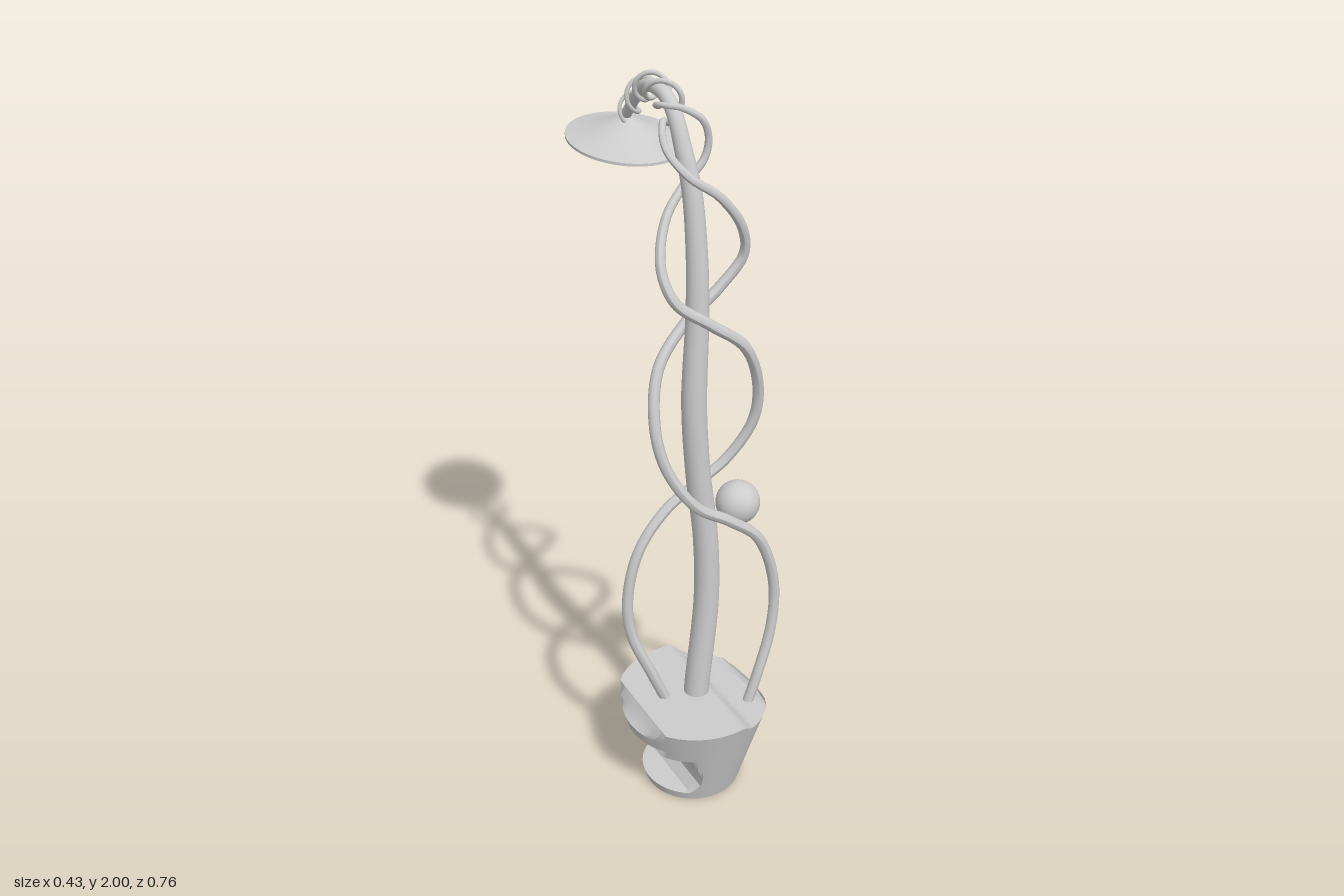
import * as THREE from 'three';
import { toCreasedNormals } from 'three/addons/utils/BufferGeometryUtils.js';

const mat = new THREE.MeshStandardMaterial({ color: 0xcccccc });
const { lerp } = THREE.MathUtils;
const toVectors = pts => pts.map(p => new THREE.Vector3(...p));

// Piecewise-linear lookup in a list of [x, y] pairs
function lookup(table, x) {
  if (x <= table[0][0]) return table[0][1];
  for (let i = 1; i < table.length; i++) {
    const [x0, y0] = table[i - 1], [x1, y1] = table[i];
    if (x <= x1) return lerp(y0, y1, (x - x0) / (x1 - x0));
  }
  return table[table.length - 1][1];
}

// Tube along a curve, tapering by a radius table, with rounded-off ends
function taperedTube(points, radii, segments, sides) {
  const curve = new THREE.CatmullRomCurve3(points);
  curve.arcLengthDivisions = 800;
  const geo = new THREE.TubeGeometry(curve, segments, 1, sides);
  const pos = geo.attributes.position, v = new THREE.Vector3();
  for (let i = 0; i <= segments; i++) {
    const u = i / segments, c = curve.getPointAt(u);
    const r = (i === 0 || i === segments) ? 0.0005 : lookup(radii, u);
    for (let j = 0; j <= sides; j++) {
      const k = i * (sides + 1) + j;
      v.fromBufferAttribute(pos, k).sub(c).multiplyScalar(r).add(c);
      pos.setXYZ(k, v.x, v.y, v.z);
    }
  }
  geo.computeVertexNormals();
  return geo;
}

// Broken pot: tapered rings, cut by a bite on one side and a chipped rim
function potGeometry() {
  const N = 72, H = 0.292;
  const bite = [[0, -0.2], [0.028, -0.2], [0.032, -0.09], [0.06, -0.065], [0.1, -0.065], [0.14, -0.09],
    [0.178, -0.1], [0.186, -0.17], [0.208, -0.16], [0.216, -0.21], [0.25, -0.225], [0.265, -0.195], [H, -0.178]];
  const rim = [[0.03, H], [0.07, 0.262], [0.16, 0.258], [0.2, 0.23]];
  const rings = [[0, 0]];
  for (const [y] of bite) rings.push([y, 1]);
  for (let k = 9; k >= 0; k--) rings.push([H, k / 10]);

  const place = (y, a, s) => {
    const r = (0.138 + 0.27 * y) * s;
    const left = lookup(bite, y);
    return [Math.max(-0.012 + r * Math.cos(a), left), y, 0.155 + 0.03 * y + r * Math.sin(a)];
  };
  const pos = [], idx = [];
  for (const [y, s] of rings) for (let j = 0; j <= N; j++) {
    const a = j / N * Math.PI * 2;
    let p = place(y, a, s);
    const top = lookup(rim, p[0]);
    if (y > top) p = place(top, a, s);
    pos.push(...p);
  }
  for (let i = 0; i < rings.length - 1; i++) for (let j = 0; j < N; j++) {
    const a = i * (N + 1) + j, b = a + N + 1;
    idx.push(a, b, a + 1, a + 1, b, b + 1);
  }
  const geo = new THREE.BufferGeometry();
  geo.setAttribute('position', new THREE.Float32BufferAttribute(pos, 3));
  geo.setIndex(idx);
  return toCreasedNormals(geo, 0.6);
}

// Thin, slightly tilted cone-shaped blossom
function blossomGeometry() {
  const profile = [[0, 0.04], [0.5, 0.016], [0.85, 0], [1, -0.003], [1, 0.004], [0.75, 0.014],
    [0.4, 0.034], [0.15, 0.055], [0.06, 0.066], [0, 0.068]].map(p => new THREE.Vector2(...p));
  const geo = new THREE.LatheGeometry(profile, 64);
  geo.scale(0.149, 1, 0.169);
  const pos = geo.attributes.position;
  for (let i = 0; i < pos.count; i++) pos.setY(i, pos.getY(i) - 0.12 * pos.getZ(i));
  geo.translate(-0.015, 1.797, -0.21);
  return toCreasedNormals(geo, 0.7);
}

export function createModel() {
  const group = new THREE.Group();
  const add = (name, geo) => {
    const mesh = new THREE.Mesh(geo, mat);
    mesh.name = name;
    group.add(mesh);
    return mesh;
  };

  add('brokenPot', potGeometry());

  // Stem, bending over at the top into an arm
  const armPts = toVectors([[-0.015, 1.92, 0.05], [-0.018, 1.955, 0.015], [-0.02, 1.967, -0.04],
    [-0.018, 1.955, -0.1], [-0.016, 1.92, -0.145], [-0.015, 1.875, -0.19], [-0.015, 1.85, -0.21]]);
  const stemPts = toVectors([[-0.01, 0.22, 0.165], [-0.003, 0.32, 0.165], [0.024, 0.6, 0.163], [0.02, 0.8, 0.16],
    [-0.002, 1.0, 0.155], [-0.014, 1.2, 0.152], [-0.002, 1.45, 0.143], [0.002, 1.6, 0.13],
    [0, 1.75, 0.107], [-0.01, 1.85, 0.08]]);
  add('stem', taperedTube([...stemPts, ...armPts],
    [[0, 0.036], [0.5, 0.033], [0.75, 0.025], [0.87, 0.018], [1, 0.013]], 160, 20));

  // Two vines twining around the stem, then coiling along the arm
  const arm = new THREE.CatmullRomCurve3(armPts);
  const coil = phase => {
    const out = [];
    for (let i = 0; i <= 40; i++) {
      const u = i / 40, p = arm.getPointAt(u), t = arm.getTangentAt(u);
      const a = phase + u * Math.PI * 5, r = lerp(0.034, 0.024, u);
      const c = r * Math.cos(a), s = r * Math.sin(a);
      out.push(new THREE.Vector3(p.x + c, p.y - t.z * s, p.z + t.y * s));
    }
    return out;
  };
  const vineRadii = [[0, 0.0155], [0.55, 0.0145], [0.7, 0.011], [0.82, 0.007], [1, 0.005]];
  const vineA = toVectors([[-0.07, 0.22, 0.15], [-0.135, 0.38, 0.14], [-0.185, 0.52, 0.115], [-0.188, 0.64, 0.105],
    [-0.15, 0.78, 0.105], [-0.07, 0.88, 0.105], [0.02, 0.94, 0.11], [0.1, 1.0, 0.125], [0.16, 1.11, 0.155],
    [0.162, 1.22, 0.175], [0.1, 1.36, 0.205], [0, 1.44, 0.205], [-0.09, 1.51, 0.19], [-0.11, 1.59, 0.155],
    [-0.07, 1.69, 0.105], [0, 1.76, 0.075], [0.05, 1.81, 0.075], [0.06, 1.86, 0.08], [0.04, 1.91, 0.085]]);
  const vineB = toVectors([[0.11, 0.22, 0.24], [0.15, 0.34, 0.24], [0.193, 0.49, 0.235], [0.197, 0.64, 0.232],
    [0.14, 0.8, 0.235], [0.05, 0.88, 0.235], [-0.05, 0.95, 0.23], [-0.125, 1.07, 0.21], [-0.145, 1.19, 0.185],
    [-0.11, 1.32, 0.14], [-0.02, 1.41, 0.11], [0.08, 1.49, 0.11], [0.138, 1.57, 0.125], [0.12, 1.65, 0.145],
    [0.05, 1.74, 0.155], [-0.03, 1.8, 0.14], [-0.065, 1.86, 0.095], [-0.05, 1.91, 0.055]]);
  add('rightVine', taperedTube([...vineA, ...coil(Math.PI / 2)], vineRadii, 360, 10));
  add('leftVine', taperedTube([...vineB, ...coil(-Math.PI / 2)], vineRadii, 360, 10));

  // Round fruit beside the stem
  add('fruit', new THREE.SphereGeometry(0.06, 32, 20)).position.set(0.11, 0.89, 0.175);

  add('blossom', blossomGeometry());
  return group;
}
